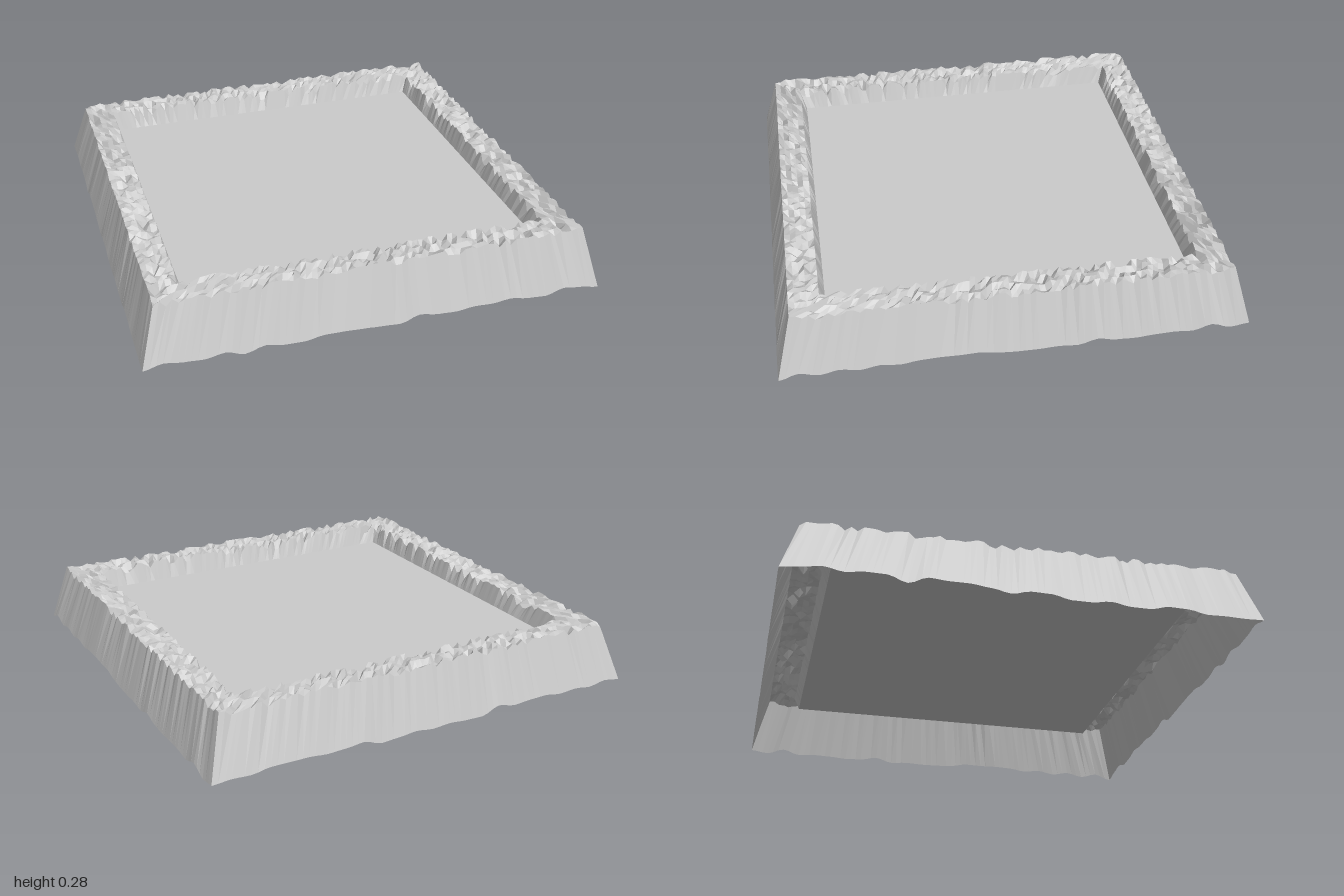
import * as THREE from 'three';

const SEGMENTS = 72; // samples along each side of the square
const COUNT = SEGMENTS * 4;

// Small seeded random generator
function seeded(seed) {
  return () => {
    seed = (seed * 1664525 + 1013904223) >>> 0;
    return seed / 4294967296;
  };
}

// Square loop of points with the given half width; height(i) gives y
function squareRing(half, height) {
  const ring = [];
  for (let i = 0; i < COUNT; i++) {
    const side = Math.floor(i / SEGMENTS);
    const t = -half + (2 * half * (i % SEGMENTS)) / SEGMENTS;
    const [x, z] = [[t, half], [half, -t], [-t, -half], [-half, t]][side];
    ring.push(new THREE.Vector3(x, height(i), z));
  }
  return ring;
}

// Skin consecutive rings, ordered from the outside in
function skinRings(rings) {
  const positions = [];
  const indices = [];
  rings.forEach((ring) => ring.forEach((p) => positions.push(p.x, p.y, p.z)));
  for (let r = 0; r < rings.length - 1; r++) {
    for (let i = 0; i < COUNT; i++) {
      const j = (i + 1) % COUNT;
      const a = r * COUNT + i;
      const b = r * COUNT + j;
      indices.push(a, b, b + COUNT, a, b + COUNT, a + COUNT);
    }
  }
  const geometry = new THREE.BufferGeometry();
  geometry.setAttribute('position', new THREE.Float32BufferAttribute(positions, 3));
  geometry.setIndex(indices);
  geometry.computeVertexNormals();
  return geometry;
}

export function createModel() {
  const group = new THREE.Group();
  group.name = 'rockyTray';
  const random = seeded(17);
  const smooth = new THREE.MeshStandardMaterial({ color: 0xcccccc, side: THREE.DoubleSide });
  const faceted = smooth.clone();
  faceted.flatShading = true;

  const add = (name, geometry, material) => {
    const mesh = new THREE.Mesh(geometry, material);
    mesh.name = name;
    group.add(mesh);
    return mesh;
  };

  // Wavy lower edge of the skirt: random knots every three samples, eased between
  const knots = Array.from({ length: COUNT / 3 }, () => 0.035 * random());
  knots[5] = 0;
  const wave = (i) => {
    const k = Math.floor(i / 3);
    const t = THREE.MathUtils.smoothstep((i % 3) / 3, 0, 1);
    return THREE.MathUtils.lerp(knots[k], knots[(k + 1) % knots.length], t);
  };

  // Rough crest: mostly level with sharp dips
  const crest = (depth) => () => 0.275 - depth * random() ** 2;
  const outerCrest = squareRing(0.93, crest(0.03));

  // Sloping outer skirt, open underneath
  add('outerSkirt', skinRings([squareRing(1, wave), outerCrest]), faceted);

  // Craggy rim
  const rim = [outerCrest];
  for (const half of [0.905, 0.88, 0.855, 0.83]) rim.push(squareRing(half, crest(0.045)));
  const innerCrest = squareRing(0.803, crest(0.05));
  rim.push(innerCrest);
  add('rockyRim', skinRings(rim), faceted);

  // Steep inner wall down to the floor
  add('innerWall', skinRings([innerCrest, squareRing(0.78, () => 0.18)]), faceted);

  // Flat floor
  const floor = add('floor', new THREE.PlaneGeometry(1.56, 1.56), smooth);
  floor.rotation.x = -Math.PI / 2;
  floor.position.y = 0.18;

  return group;
}
